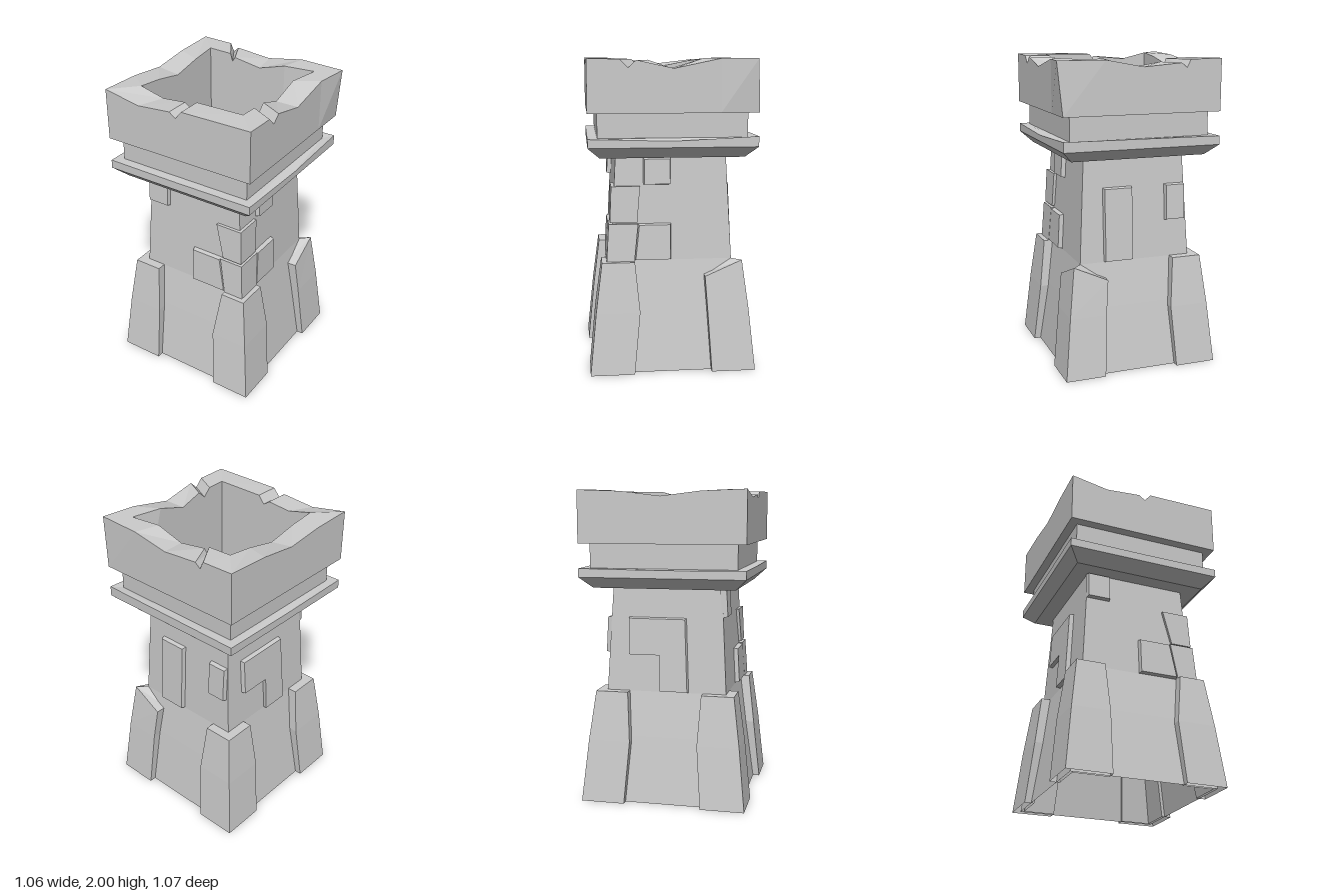
import * as THREE from 'three';

const material = new THREE.MeshStandardMaterial({ color: 0xcccccc, flatShading: true, side: THREE.DoubleSide });

// Joins equal-length rings of points into a faceted skin, with optional fan caps
function loft(name, rings, { capStart = false, capEnd = false } = {}) {
  const out = [];
  const tri = (...pts) => pts.forEach((p) => out.push(...p));
  const n = rings[0].length;
  for (let j = 0; j < rings.length - 1; j++) {
    for (let i = 0; i < n; i++) {
      const k = (i + 1) % n;
      const [a, b, c, d] = [rings[j][i], rings[j][k], rings[j + 1][k], rings[j + 1][i]];
      tri(a, b, c);
      tri(a, c, d);
    }
  }
  const first = rings[0], last = rings[rings.length - 1];
  for (let i = 1; i < n - 1; i++) {
    if (capStart) tri(first[0], first[i + 1], first[i]);
    if (capEnd) tri(last[0], last[i], last[i + 1]);
  }
  const geometry = new THREE.BufferGeometry();
  geometry.setAttribute('position', new THREE.Float32BufferAttribute(out, 3));
  geometry.computeVertexNormals();
  const mesh = new THREE.Mesh(geometry, material);
  mesh.name = name;
  return mesh;
}

// Shaft profile: height, half width, half depth
const PROFILE = [[0, 0.47, 0.49], [0.43, 0.413, 0.433], [0.72, 0.372, 0.39], [1.39, 0.335, 0.354]];

function halfSize(y) {
  let i = 0;
  while (i < PROFILE.length - 2 && y > PROFILE[i + 1][0]) i++;
  const [a, b] = [PROFILE[i], PROFILE[i + 1]];
  const t = (y - a[0]) / (b[0] - a[0]);
  return [a[1] + (b[1] - a[1]) * t, a[2] + (b[2] - a[2]) * t];
}

// Rectangular ring with corners and side midpoints; heights may vary per point
const UNIT = [[-1, 1], [0, 1], [1, 1], [1, 0], [1, -1], [0, -1], [-1, -1], [-1, 0]];
const rectRing = (hx, hz, y) => UNIT.map(([x, z], i) => [x * hx, Array.isArray(y) ? y[i] : y, z * hz]);

// L-shaped stone around a corner. levels: [y, x edge, z edge, depth, y at the edges]
function cornerStone(name, sx, sz, levels, capStart) {
  const rings = levels.map(([y, u, v, d, edgeY = y]) => {
    const [hx, hz] = halfSize(y);
    const [ex, ez] = halfSize(edgeY);
    const p = [
      [hx + d, y, hz + d], [ex + d, edgeY, v], [ex - 0.02, edgeY, v],
      [hx - 0.02, y, hz - 0.02], [u, edgeY, ez - 0.02], [u, edgeY, ez + d],
    ].map(([x, py, z]) => [sx * x, py, sz * z]);
    return sx * sz > 0 ? p : [p[0], ...p.slice(1).reverse()];
  });
  return loft(name, rings, { capStart, capEnd: true });
}

// Raised stone on one side of the shaft; outline runs counterclockwise seen from outside
const SIDES = {
  front: (u, y, d) => [u, y, halfSize(y)[1] + d],
  right: (u, y, d) => [halfSize(y)[0] + d, y, -u],
  back: (u, y, d) => [-u, y, -halfSize(y)[1] - d],
  left: (u, y, d) => [-halfSize(y)[0] - d, y, u],
};

function wallStone(name, side, outline) {
  const mid = [0, 1].map((k) => {
    const v = outline.map((p) => p[k]);
    return (Math.min(...v) + Math.max(...v)) / 2;
  });
  const inset = (p, k) => p[k] - Math.sign(p[k] - mid[k]) * 0.008;
  const at = SIDES[side];
  return loft(name, [
    outline.map(([u, y]) => at(u, y, -0.01)),
    outline.map((p) => at(inset(p, 0), inset(p, 1), 0.028)),
  ], { capEnd: true });
}

const rect = (u0, u1, y0, y1) => [[u0, y0], [u1, y0], [u1, y1], [u0, y1]];

// Broken rim: outer x, outer z, inner x, inner z, outer height, inner height
const RIM = [
  [-0.515, 0.53, -0.365, 0.372, 2, 2],
  [-0.27, 0.53, -0.2, 0.372, 1.955, 1.96],
  [-0.04, 0.53, -0.04, 0.372, 1.975, 1.975],
  [0.003, 0.53, 0.003, 0.372, 1.945, 1.945],
  [0.045, 0.53, 0.045, 0.372, 1.995, 1.995],
  [0.515, 0.53, 0.365, 0.372, 2, 2],
  [0.515, 0.33, 0.365, 0.25, 1.995, 1.995],
  [0.515, 0.28, 0.365, 0.2, 1.945, 1.945],
  [0.515, 0.23, 0.365, 0.15, 1.99, 1.99],
  [0.515, 0, 0.365, 0, 1.94, 1.94],
  [0.515, -0.29, 0.365, -0.2, 2, 2],
  [0.545, -0.515, 0.405, -0.4, 2, 2],
  [0.245, -0.53, 0.205, -0.372, 2, 2],
  [0, -0.53, 0.02, -0.372, 1.955, 1.945],
  [-0.245, -0.53, -0.17, -0.372, 1.975, 1.975],
  [-0.28, -0.53, -0.19, -0.372, 1.945, 1.945],
  [-0.305, -0.53, -0.205, -0.372, 1.995, 1.995],
  [-0.515, -0.53, -0.365, -0.372, 2, 2],
  [-0.515, -0.25, -0.365, -0.2, 1.99, 1.98],
  [-0.515, 0, -0.365, 0, 1.96, 1.94],
  [-0.515, 0.25, -0.365, 0.2, 1.99, 1.98],
];

function buildRim() {
  const clamp = THREE.MathUtils.clamp;
  // The leaning corner stands on a square base
  const base = RIM.map(([x, z]) => (x > 0.515 ? [0.515, 1.67, -0.53] : [x, 1.67, z]));
  return loft('brokenRim', [
    base.map(([x, y, z]) => [x * 0.88, y, z * 0.88]),
    base,
    RIM.map(([x, z, , , y]) => [x, y, z]),
    RIM.map(([, , x, z, , y]) => [x, y, z]),
    RIM.map(([, , x, z]) => [clamp(x, -0.365, 0.365), 1.42, clamp(z, -0.372, 0.372)]),
  ], { capEnd: true });
}

export function createModel() {
  const model = new THREE.Group();
  model.name = 'ruinedTower';
  const tower = new THREE.Group();
  tower.name = 'tower';
  tower.position.x = -0.015;
  model.add(tower);

  // Tapered shaft, open below
  tower.add(loft('shaft', PROFILE.map(([y, hx, hz]) => rectRing(hx, hz, y))));

  // Cornice with a worn upper edge, and the neck above it
  tower.add(loft('corniceAndNeck', [
    rectRing(0.335, 0.354, 1.39),
    rectRing(0.443, 0.455, 1.39),
    rectRing(0.515, 0.53, 1.46),
    rectRing(0.515, 0.53, [1.515, 1.512, 1.515, 1.5, 1.525, 1.52, 1.515, 1.51]),
    rectRing(0.458, 0.47, 1.515),
    rectRing(0.458, 0.47, 1.67),
  ]));
  tower.add(buildRim());

  // Corner buttresses
  const buttress = (name, sx, sz, u, v, edgeY) => tower.add(cornerStone(name, sx, sz, [
    [0, u[0], v[0], 0.043],
    [0.4, u[1], v[1], 0.055],
    [0.72, u[2], v[2], 0.06, edgeY],
  ], false));
  buttress('frontLeftButtress', 1, 1, [0.245, 0.22, 0.265], [0.25, 0.21, 0.24]);
  buttress('frontRightButtress', -1, 1, [0.225, 0.225, 0.245], [0.25, 0.22, 0.24]);
  buttress('backRightButtress', -1, -1, [0.245, 0.215, 0.24], [0.25, 0.22, 0.24]);
  buttress('backLeftButtress', 1, -1, [0.25, 0.23, 0.21], [0.25, 0.225, 0.21], 0.62);

  // Stones wrapping the front corner
  tower.add(cornerStone('lowerCornerStone', 1, 1, [[0.72, 0.265, 0.24, 0.028], [0.96, 0.225, 0.215, 0.026]], true));
  tower.add(cornerStone('upperCornerStone', 1, 1, [[0.97, 0.24, 0.22, 0.018], [1.2, 0.185, 0.2, 0.02]], true));

  // Raised stones on each side
  const stones = [
    ['front', rect(-0.345, -0.185, 1.205, 1.385)],
    ['front', [[0.005, 0.72], [0.265, 0.72], [0.225, 0.96], [0.005, 0.96]]],
    ['right', rect(-0.18, 0, 1.205, 1.38)],
    ['right', [[-0.24, 0.72], [0, 0.72], [0, 0.96], [-0.215, 0.96]]],
    ['back', rect(-0.215, -0.015, 0.72, 1.2)],
    ['back', rect(0.205, 0.345, 0.96, 1.2)],
    ['left', [[-0.03, 0.96], [-0.03, 0.72], [0.15, 0.72], [0.13, 1.2], [-0.25, 1.2], [-0.25, 0.96]]],
  ];
  stones.forEach(([side, outline]) => {
    // Names use the model's own left and right
    const own = { right: 'left', left: 'right' }[side] || side;
    tower.add(wallStone(`${own}WallStone`, side, outline));
  });
  return model;
}
